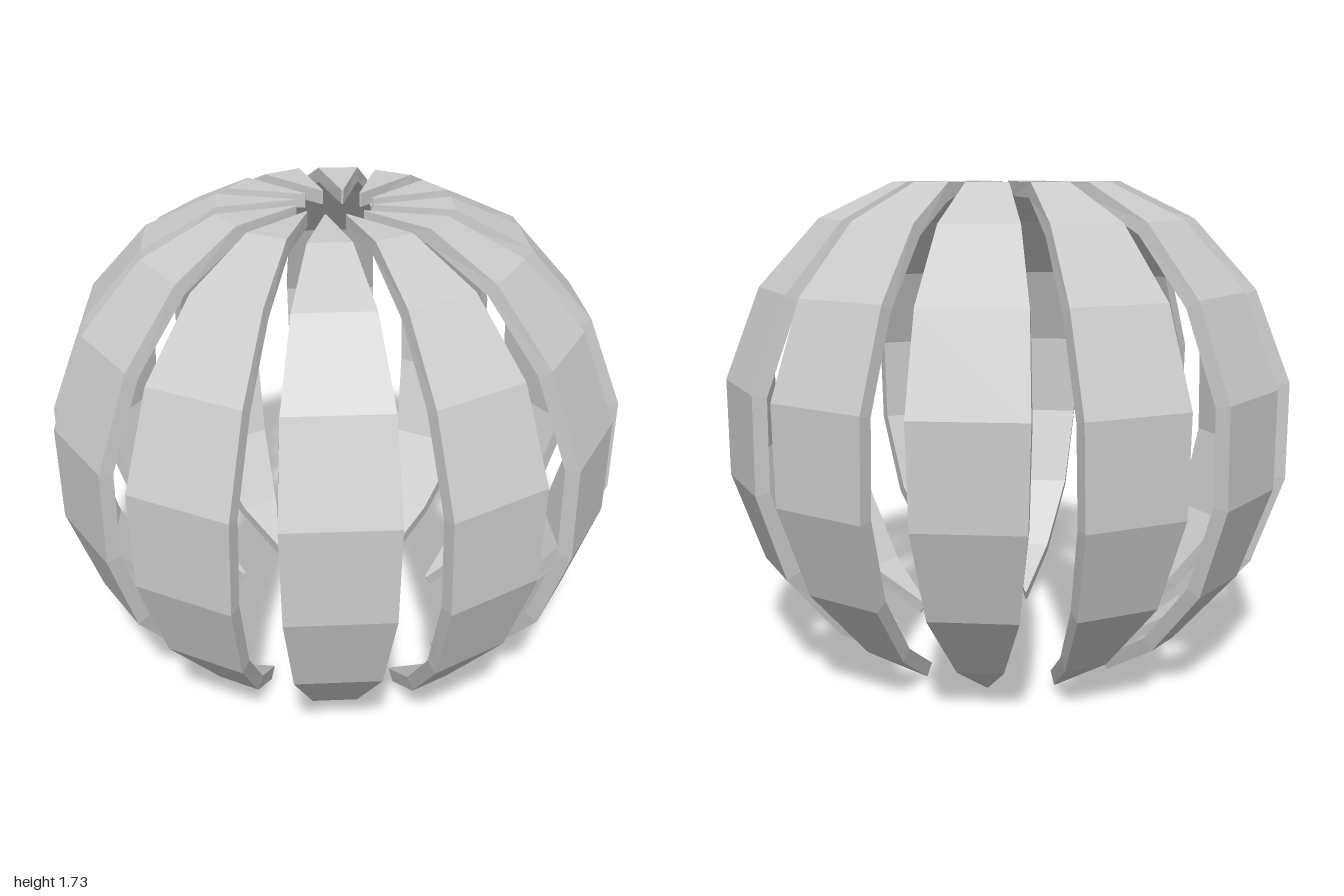
import * as THREE from 'three';

const PETALS = 12;
const THICKNESS = 0.05;
const SIDE_SHIFT = -0.036; // each petal sits slightly beside its radial line
const TWIST = THREE.MathUtils.degToRad(3);

// Outer profile from crown to foot: radius, height, half width
const PROFILE = [
  [0.13, 1.73, 0.003],
  [0.40, 1.73, 0.072],
  [0.655, 1.605, 0.13],
  [0.865, 1.37, 0.172],
  [0.99, 1.05, 0.186],
  [0.99, 0.71, 0.178],
  [0.885, 0.395, 0.145],
  [0.68, 0.145, 0.078],
  [0.46, 0, 0.004],
];

// Unit normal pointing into the shell for the profile segment starting at i
function inwardNormal(i) {
  const [r0, y0] = PROFILE[i];
  const [r1, y1] = PROFILE[i + 1];
  return new THREE.Vector2(y1 - y0, r0 - r1).normalize();
}

// A curved slat: four corners per cross-section, closed at both tips
function petalGeometry() {
  const positions = [];
  const indices = [];
  const last = PROFILE.length - 1;
  const quad = (a, b, c, d) => indices.push(a, b, c, a, c, d);

  PROFILE.forEach(([r, y, w], i) => {
    const n1 = inwardNormal(Math.max(i - 1, 0));
    const n2 = inwardNormal(Math.min(i, last - 1));
    const miter = n1.clone().add(n2).multiplyScalar(THICKNESS / (1 + n1.dot(n2)));
    const ri = r + miter.x;
    const yi = y + miter.y;
    const xl = SIDE_SHIFT - w;
    const xr = SIDE_SHIFT + w;
    positions.push(xl, y, r, xr, y, r, xr, yi, ri, xl, yi, ri);
  });

  for (let i = 0; i < last; i++) {
    for (let j = 0; j < 4; j++) {
      const k = (j + 1) % 4;
      quad(i * 4 + j, i * 4 + 4 + j, i * 4 + 4 + k, i * 4 + k);
    }
  }
  quad(0, 1, 2, 3);
  const e = last * 4;
  quad(e + 3, e + 2, e + 1, e);

  const geometry = new THREE.BufferGeometry();
  geometry.setAttribute('position', new THREE.Float32BufferAttribute(positions, 3));
  geometry.setIndex(indices);
  geometry.computeVertexNormals();
  return geometry;
}

export function createModel() {
  const model = new THREE.Group();
  model.name = 'slattedGlobe';
  const material = new THREE.MeshStandardMaterial({ color: 0xcccccc, flatShading: true });
  const geometry = petalGeometry();

  // Ring of identical petals around the vertical axis
  for (let i = 0; i < PETALS; i++) {
    const petal = new THREE.Mesh(geometry, material);
    petal.name = `petal${i + 1}`;
    petal.rotation.y = TWIST + (i / PETALS) * Math.PI * 2;
    model.add(petal);
  }
  return model;
}
